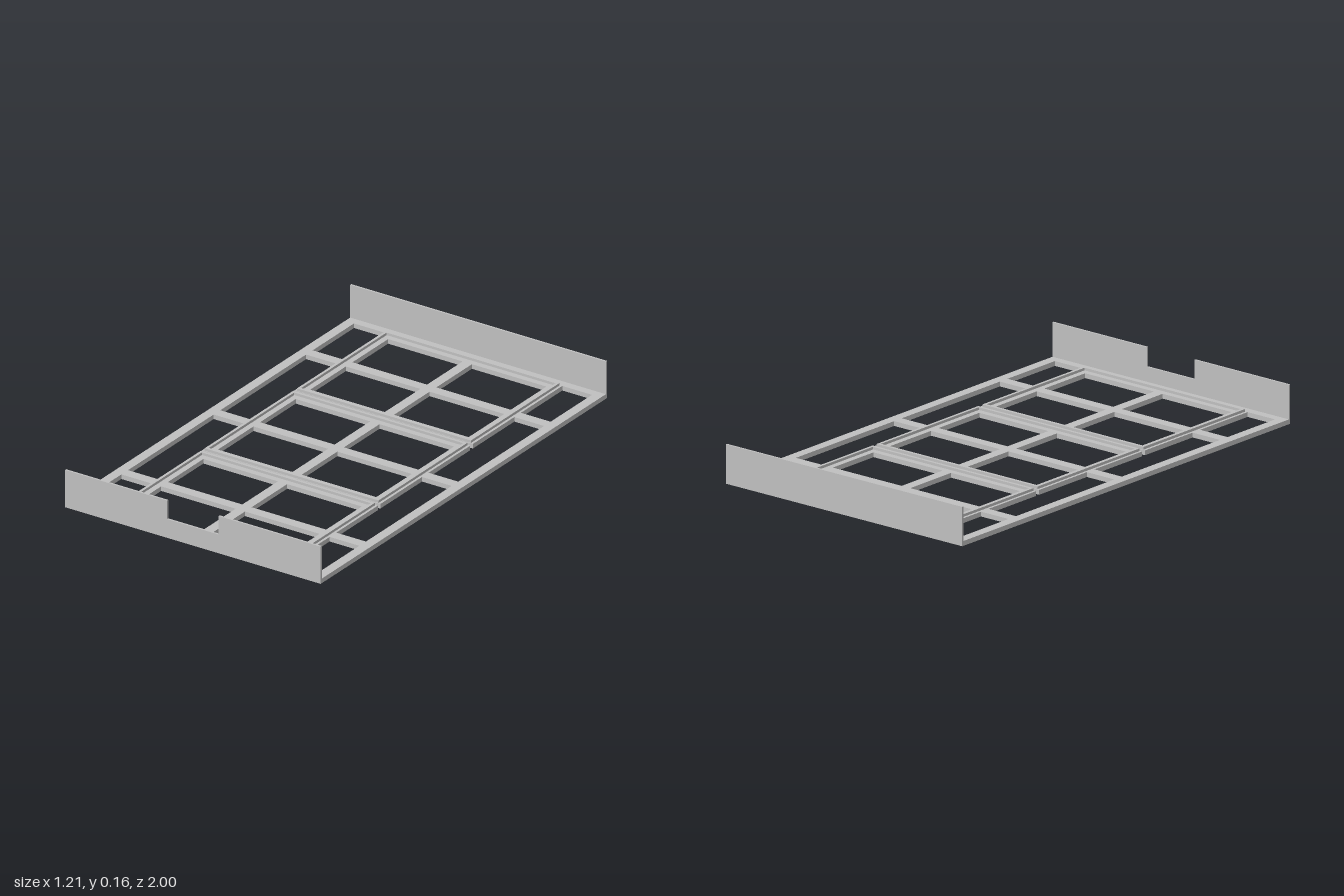
import * as THREE from 'three';

const BASE_H = 0.02, PITCH = 0.645, BAR = 0.023;

// Closed outline from corner pairs, mirrored by the signs sx, sz
const outline = (Type, pts, sx = 1, sz = 1) => {
  const v = pts.map(([x, z]) => new THREE.Vector2(x * sx, z * sz));
  return new Type().setFromPoints([...v, v[0].clone()]);
};
const rect = (x0, x1, z0, z1) => [[x0, z0], [x1, z0], [x1, z1], [x0, z1]];

export function createModel() {
  const group = new THREE.Group();
  const grey = new THREE.MeshStandardMaterial({ color: 0xc0c0c0 });
  grey.name = 'lightGrey';

  const add = (name, shape, depth) => {
    const geo = new THREE.ExtrudeGeometry(shape, { depth, bevelEnabled: false });
    const mesh = new THREE.Mesh(geo, grey);
    mesh.name = name;
    group.add(mesh);
    return mesh;
  };

  // Flat lattice base with all its openings
  const base = outline(THREE.Shape, rect(-0.607, 0.607, -1, 1));
  for (const sx of [-1, 1]) {
    for (const sz of [-1, 1]) {
      // Outer corner opening
      base.holes.push(outline(THREE.Path, rect(0.424, 0.565, PITCH + BAR, 0.957), sx, sz));
      // Long side opening, with the slot between neighbouring panels
      base.holes.push(outline(THREE.Path, [
        [0.565, BAR], [0.565, PITCH - BAR], [0.424, PITCH - BAR], [0.424, 0.332],
        [0.022, 0.332], [0.022, 0.314], [0.424, 0.314], [0.424, BAR],
      ], sx, sz));
    }
    // Panel openings
    for (const c of [-PITCH, 0, PITCH]) {
      for (const s of [-1, 1]) {
        base.holes.push(outline(THREE.Path, rect(0.022, 0.376, c + s * BAR, c + s * 0.272), sx));
      }
    }
  }
  add('baseLattice', base, BASE_H).rotation.x = -Math.PI / 2;

  // Thin raised rim on each panel
  for (const c of [-PITCH, 0, PITCH]) {
    const rim = outline(THREE.Shape, rect(-0.413, 0.413, -0.31, 0.31));
    rim.holes.push(outline(THREE.Path, rect(-0.401, 0.401, -0.298, 0.298)));
    const mesh = add('panelRim', rim, 0.011);
    mesh.rotation.x = -Math.PI / 2;
    mesh.position.set(0, BASE_H, c);
  }

  // End walls, the front one notched
  const W = 0.607, H = 0.163;
  add('backWall', outline(THREE.Shape, rect(-W, W, 0, H)), 0.008).position.z = -1;
  add('frontWall', outline(THREE.Shape, [
    [-W, 0], [W, 0], [W, H], [0.122, H], [0.122, 0.082], [-0.122, 0.082], [-0.122, H], [-W, H],
  ]), 0.008).position.z = 0.992;

  return group;
}
